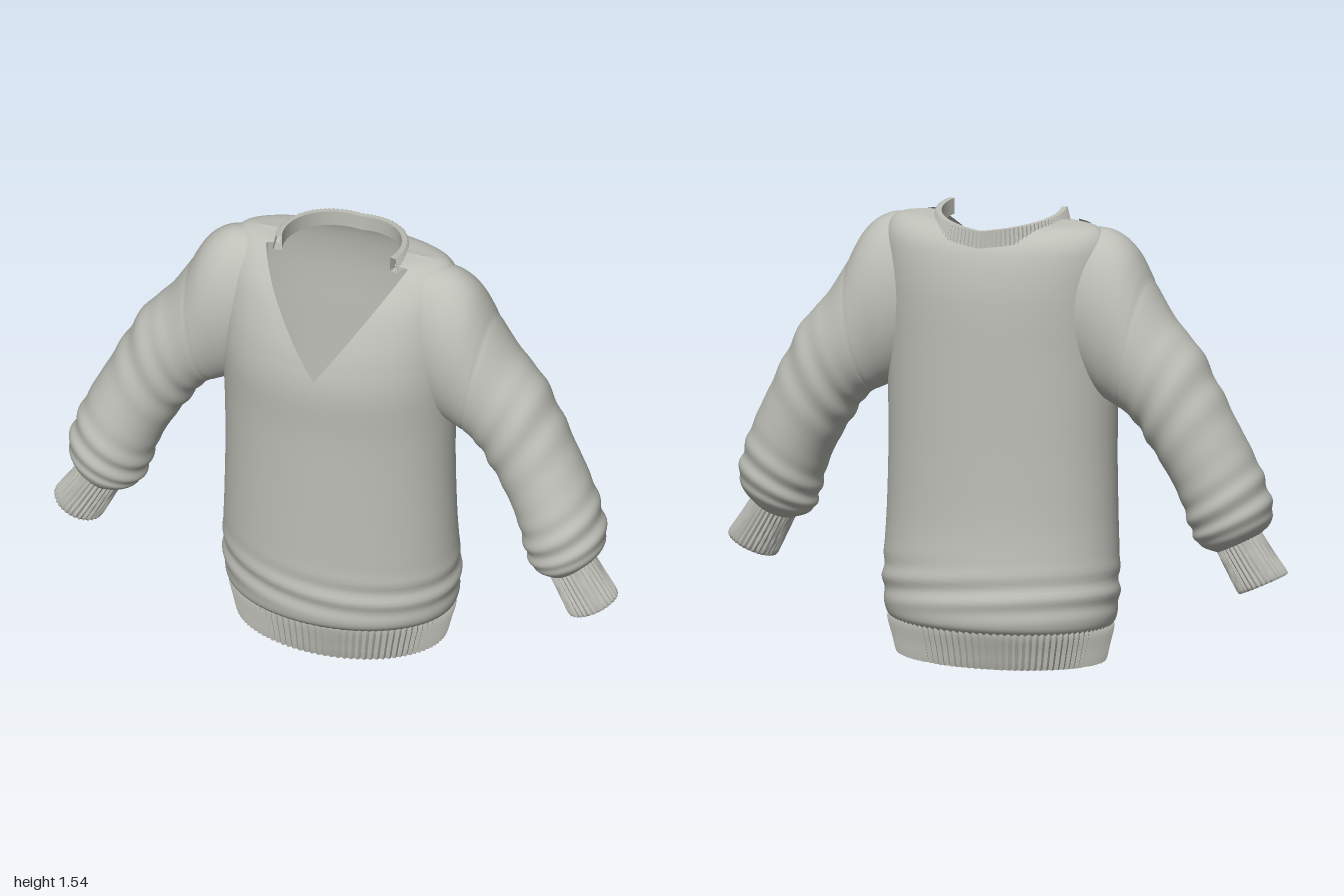
import * as THREE from 'three';
import { mergeVertices, toCreasedNormals } from 'three/addons/utils/BufferGeometryUtils.js';

const wool = new THREE.MeshStandardMaterial({ color: 0xbebfb7, side: THREE.DoubleSide });
wool.name = 'grey wool';

// Smooth interpolation through a short table of section rows, t in [0, rows - 1]
function spline(rows) {
  const n = rows[0].length;
  const curve = new THREE.CubicInterpolant(rows.map((_, i) => i), rows.flat(), n, new Float32Array(n));
  return (t) => Array.from(curve.evaluate(t));
}

// Triangles of a grid whose points come from point(u, v), u and v in [0, 1]
function gridTriangles(point, nu, nv) {
  const tris = [];
  const p = [];
  for (let i = 0; i <= nv; i++) {
    p.push([]);
    for (let j = 0; j <= nu; j++) p[i].push(point(j / nu, i / nv));
  }
  for (let i = 0; i < nv; i++) {
    for (let j = 0; j < nu; j++) {
      const a = p[i][j], b = p[i + 1][j], c = p[i + 1][j + 1], d = p[i][j + 1];
      tris.push([a, b, d], [b, c, d]);
    }
  }
  return tris;
}

// Keep only the side of the triangles where keep(p) > 0, cutting cleanly along the line
function clip(tris, keep) {
  const out = [];
  for (const tri of tris) {
    const poly = [];
    for (let i = 0; i < 3; i++) {
      const a = tri[i], b = tri[(i + 1) % 3];
      const fa = keep(a), fb = keep(b);
      if (fa > 0) poly.push(a);
      if ((fa > 0) !== (fb > 0)) poly.push(a.clone().lerp(b, fa / (fa - fb)));
    }
    for (let i = 2; i < poly.length; i++) out.push([poly[0], poly[i - 1], poly[i]]);
  }
  return out;
}

function meshOf(name, tris, crease = 0) {
  let geo = new THREE.BufferGeometry().setFromPoints(tris.flat());
  if (crease) geo = toCreasedNormals(geo, crease);
  else {
    geo = mergeVertices(geo, 1e-5);
    geo.computeVertexNormals();
  }
  const mesh = new THREE.Mesh(geo, wool);
  mesh.name = name;
  return mesh;
}

// Body sections: height, half width, front z, back z
const bodyRows = [
  [0.12, 0.385, 0.25, -0.265], [0.15, 0.402, 0.275, -0.285], [0.21, 0.41, 0.28, -0.288],
  [0.32, 0.412, 0.28, -0.277], [0.48, 0.405, 0.28, -0.26], [0.7, 0.4, 0.282, -0.255],
  [0.9, 0.402, 0.286, -0.255], [1.08, 0.408, 0.296, -0.255], [1.2, 0.41, 0.281, -0.255],
  [1.3, 0.41, 0.25, -0.25], [1.39, 0.408, 0.205, -0.235], [1.45, 0.398, 0.155, -0.213],
  [1.49, 0.375, 0.105, -0.175], [1.51, 0.34, 0.06, -0.125], [1.52, 0.28, -0.02, -0.02],
];
const bodyAt = spline(bodyRows);

function bodyPoint(offset) {
  return (u, v) => {
    const [y, w, zf, zb] = bodyAt(v * (bodyRows.length - 1));
    const a = u * Math.PI * 2;
    const zc = (zf + zb) / 2, d = (zf - zb) / 2;
    const x = Math.cos(a), z = Math.sin(a);
    // soft folds gathered above the hem
    const nearHem = Math.exp(-(((y - 0.26) / 0.07) ** 2));
    const grow = offset + 0.006 * nearHem * Math.sin(70 * y + 3 * x + 2 * z);
    return new THREE.Vector3((w + grow) * x, y + offset * 0.6, zc + (d + grow) * z);
  };
}

const vNeck = (tip) => (p) => Math.abs(p.x) - 0.7 * (p.y - tip);

// Sleeve sections: upper x, y, lower x, y, centre z, half depth
const sleeveRows = [
  [0.3, 1.5, 0.34, 0.95, -0.005, 0.15], [0.4, 1.493, 0.375, 0.92, -0.005, 0.163],
  [0.48, 1.435, 0.41, 0.9, -0.005, 0.163], [0.55, 1.31, 0.435, 0.888, -0.007, 0.16],
  [0.62, 1.2, 0.465, 0.872, -0.008, 0.157], [0.7, 1.11, 0.505, 0.83, -0.005, 0.152],
  [0.77, 0.985, 0.55, 0.76, 0, 0.147], [0.83, 0.865, 0.6, 0.68, 0.01, 0.145],
  [0.885, 0.755, 0.64, 0.6, 0.022, 0.147], [0.925, 0.66, 0.667, 0.52, 0.032, 0.149],
  [0.95, 0.57, 0.687, 0.455, 0.04, 0.14], [0.942, 0.51, 0.715, 0.422, 0.047, 0.122],
  [0.905, 0.47, 0.765, 0.405, 0.05, 0.092],
];
// Cuff sections, turning inward at the open end
const cuffRows = [
  [0.9, 0.485, 0.762, 0.415, 0.05, 0.09], [0.95, 0.41, 0.8, 0.34, 0.055, 0.09],
  [0.996, 0.345, 0.835, 0.272, 0.06, 0.089], [0.988, 0.338, 0.843, 0.272, 0.06, 0.08],
  [0.95, 0.385, 0.812, 0.325, 0.057, 0.078],
];

// Oval section of a sleeve or cuff; grow(a, t) pushes the surface outward
function armPoint(rows, side, grow) {
  const at = spline(rows);
  return (u, v) => {
    const t = v * (rows.length - 1);
    const [ux, uy, lx, ly, zc, dz] = at(t);
    const a = u * Math.PI * 2;
    const k = 1 + grow(a, t);
    const c = Math.cos(a) * k / 2;
    return new THREE.Vector3(
      side * ((ux + lx) / 2 + (ux - lx) * c),
      (uy + ly) / 2 + (uy - ly) * c,
      zc - side * Math.sin(a) * dz * k);
  };
}

function sleeveFolds(a, t) {
  const elbow = 0.025 * Math.exp(-(((t - 5.6) / 1.1) ** 2)) * Math.sin(6 * t + 1.5 * Math.cos(a));
  const wrist = 0.035 * Math.exp(-(((t - 9.4) / 1.1) ** 2)) * Math.sin(6.5 * t + 1.4 * Math.sin(a + 0.5));
  // sunken seam around the dropped shoulder
  const seam = -0.014 * Math.exp(-(((t - 3.1 + 0.3 * Math.cos(a)) / 0.09) ** 2));
  return elbow + wrist + seam;
}

function ribbedHem() {
  // height, half width, front z, back z; the last rows turn inside
  const rows = [[0, 0.345, 0.222, -0.228], [0, 0.362, 0.24, -0.246], [0.06, 0.378, 0.248, -0.257],
    [0.115, 0.392, 0.255, -0.27], [0.14, 0.386, 0.252, -0.268]];
  const at = spline(rows);
  return gridTriangles((u, v) => {
    const t = v * (rows.length - 1);
    const [y, w, zf, zb] = at(t);
    const a = u * Math.PI * 2;
    const rib = t > 0.9 ? 0.0045 * Math.cos(100 * a) : 0;
    return new THREE.Vector3((w + rib) * Math.cos(a), Math.max(0, y),
      (zf + zb) / 2 + ((zf - zb) / 2 + rib) * Math.sin(a));
  }, 400, 12);
}

function ribbedCollar() {
  // closed band profile: radius, height below the top edge
  const profile = [[0.202, 0.055], [0.202, 0], [0.22, 0], [0.232, 0.055], [0.202, 0.055]];
  return gridTriangles((u, v) => {
    const a = -0.3 + u * (Math.PI + 0.6);
    const [r, drop] = profile[Math.round(v * 4)];
    const rib = r > 0.21 ? 0.003 * Math.cos(u * Math.PI * 2 * 56) : 0;
    const rise = Math.sqrt(Math.max(0, (1 - Math.sin(a)) * 0.2 / 0.26));
    const top = 1.5 + 0.045 * Math.min(1, rise);
    return new THREE.Vector3((r + rib) * Math.cos(a), top - drop, -(r + rib) * Math.sin(a));
  }, 224, 4);
}

export function createModel() {
  const sweater = new THREE.Group();
  sweater.name = 'sweater';

  // Body, cut open for the round back neck and the front V
  let body = gridTriangles(bodyPoint(0), 128, 112);
  body = clip(body, (p) => Math.max(Math.hypot(p.x, p.z) - 0.21, 1.3 - p.y));
  body = clip(body, (p) => Math.max(vNeck(1.14)(p), 0.05 - p.z));
  sweater.add(meshOf('body', body));

  // Raised band following the V
  let trim = gridTriangles(bodyPoint(0.009), 128, 112);
  trim = clip(trim, (p) => p.z - 0.05);
  trim = clip(trim, vNeck(1.14));
  trim = clip(trim, (p) => -vNeck(1.07)(p));
  sweater.add(meshOf('neckTrim', trim));

  sweater.add(meshOf('hem', ribbedHem(), 1.2));
  sweater.add(meshOf('collar', ribbedCollar(), 1));

  for (const side of [1, -1]) {
    const arm = new THREE.Group();
    arm.name = side > 0 ? 'leftArm' : 'rightArm';
    arm.add(meshOf('sleeve', gridTriangles(armPoint(sleeveRows, side, sleeveFolds), 64, 120)));
    const ribs = (a, t) => (t < 2.5 ? 0.035 * Math.cos(32 * a) : 0);
    arm.add(meshOf('cuff', gridTriangles(armPoint(cuffRows, side, ribs), 128, 12), 1.2));
    sweater.add(arm);
  }
  return sweater;
}
